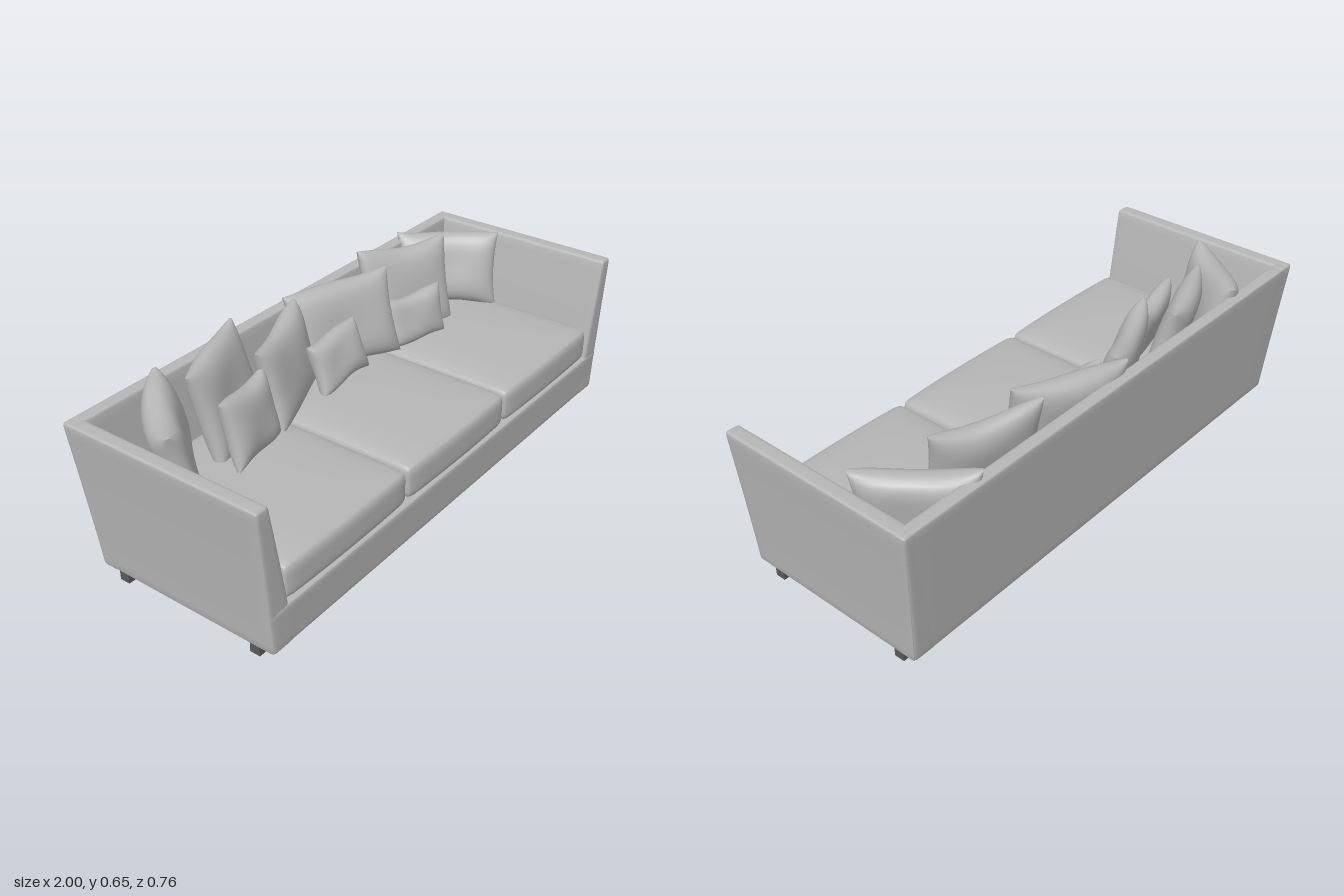
import * as THREE from 'three';
import { mergeVertices } from 'three/addons/utils/BufferGeometryUtils.js';

const fabric = new THREE.MeshStandardMaterial({ color: 0xb6b6b6 });
fabric.name = 'grey fabric';
const legPaint = new THREE.MeshStandardMaterial({ color: 0x5a5a5a });
legPaint.name = 'dark leg';

const { lerp, clamp } = THREE.MathUtils;

// Box grid from -1 to 1, denser near its edges, moved by a rule and smoothed
function warpedBox(nx, ny, nz, rule) {
  let geo = new THREE.BoxGeometry(2, 2, 2, nx, ny, nz);
  geo.deleteAttribute('normal');
  geo.deleteAttribute('uv');
  geo = mergeVertices(geo);
  const pos = geo.attributes.position;
  const p = new THREE.Vector3();
  for (let i = 0; i < pos.count; i++) {
    p.fromBufferAttribute(pos, i);
    p.set(...p.toArray().map((c) => Math.sin((c * Math.PI) / 2)));
    rule(p);
    pos.setXYZ(i, p.x, p.y, p.z);
  }
  geo.computeVertexNormals();
  return geo;
}

// Rounded block of size w, h, d, optionally bent further by a rule
function softBlock(w, h, d, r, rule = () => {}) {
  const half = new THREE.Vector3(w / 2, h / 2, d / 2);
  const inner = half.clone().subScalar(r);
  const c = new THREE.Vector3();
  return warpedBox(12, 12, 14, (p) => {
    p.multiply(half);
    c.copy(p).clamp(inner.clone().negate(), inner);
    p.sub(c);
    if (p.lengthSq() > 0) p.setLength(r);
    p.add(c);
    rule(p);
  });
}

// Wall leaning outwards; x and z limits are given for its foot and its top
function leaningWall(foot, top, y0, y1) {
  const w = top[1] - top[0], h = y1 - y0, d = top[3] - top[2];
  return softBlock(w, h, d, 0.012, (p) => {
    const t = clamp(p.y / h + 0.5, 0, 1);
    const k = Math.pow(t, 1.15);
    p.x = lerp(lerp(foot[0], top[0], k), lerp(foot[1], top[1], k), p.x / w + 0.5);
    p.z = lerp(lerp(foot[2], top[2], t), lerp(foot[3], top[3], t), p.z / d + 0.5);
    p.y = lerp(y0, y1, t);
  });
}

// Stuffed pillow with drawn-in sides, pulled corners and a few soft creases
function pillowGeometry(w, h, thick, bend, seed) {
  return warpedBox(18, 18, 2, (p) => {
    const u = p.x, v = p.y;
    const puff = Math.sqrt((1 - u ** 4) * (1 - v ** 4));
    const crease = 1 + 0.1 * Math.sin(u * 3 + seed) * Math.cos(v * 2.5 + seed * 2);
    p.x = (w / 2) * u * (1 - 0.07 * (1 - v * v));
    p.y = (h / 2) * v * (1 - 0.08 * (1 - u * u)) + 0.006 * Math.sin(u * 3 + seed);
    p.z = p.z * (thick / 2) * (0.1 + 0.9 * puff * crease) + bend * (u * u - 0.4);
  });
}

export function createModel() {
  const sofa = new THREE.Group();
  sofa.name = 'sofa';
  const add = (name, geo, mat, x = 0, y = 0, z = 0) => {
    const mesh = new THREE.Mesh(geo, mat);
    mesh.name = name;
    mesh.position.set(x, y, z);
    sofa.add(mesh);
    return mesh;
  };

  // Base and back
  add('base', leaningWall([-0.95, 0.95, -0.32, 0.372], [-0.96, 0.96, -0.33, 0.378], 0.04, 0.195), fabric);
  add('backrest', leaningWall([-0.955, 0.955, -0.333, -0.27], [1, 1, -0.38, -0.33].map((v, i) => (i === 0 ? -1 : v)), 0.04, 0.575), fabric);

  // Arms
  add('leftArm', leaningWall([0.855, 0.955, -0.333, 0.374], [0.945, 1, -0.38, 0.378], 0.04, 0.575), fabric);
  add('rightArm', leaningWall([-0.955, -0.855, -0.333, 0.374], [-1, -0.945, -0.38, 0.378], 0.04, 0.575), fabric);

  // Seat cushions, crowned on top
  const edges = [-0.885, -0.282, 0.298, 0.89];
  for (let i = 0; i < 3; i++) {
    const w = edges[i + 1] - edges[i] - 0.004, h = 0.128, d = 0.67;
    const geo = softBlock(w, h, d, 0.03, (p) => {
      const u = (2 * p.x) / w, v = (2 * p.z) / d;
      if (p.y > 0) p.y += 0.018 * (1 - u ** 4) * (1 - v ** 4);
      p.z += 0.006 * v * (1 - u * u);
    });
    add('seatCushion', geo, fabric, (edges[i] + edges[i + 1]) / 2, 0.254, 0.034);
  }

  // Pillows: x, y, z, width, height, thickness, turn, lean, roll, bend
  const pillows = [
    [-0.755, 0.458, -0.185, 0.4, 0.29, 0.12, 0.88, 0.22, 0.02, 0.02],
    [-0.475, 0.478, -0.225, 0.38, 0.35, 0.1, 0.38, 0.25, 0.03, 0.01],
    [-0.505, 0.442, -0.09, 0.275, 0.235, 0.085, 0.25, 0.25, -0.03, 0.005],
    [-0.2, 0.458, -0.195, 0.4, 0.3, 0.1, 0.4, 0.25, 0, 0.01],
    [0.01, 0.42, -0.145, 0.26, 0.19, 0.085, 0, 0.35, 0.04, 0.005],
    [0.145, 0.468, -0.23, 0.42, 0.32, 0.11, -0.38, 0.25, 0.05, 0.015],
    [0.495, 0.478, -0.205, 0.38, 0.335, 0.1, -0.36, 0.25, -0.03, 0.01],
    [0.43, 0.412, -0.115, 0.25, 0.185, 0.08, -0.3, 0.25, 0, 0.005],
    [0.77, 0.458, -0.2, 0.39, 0.29, 0.12, -0.88, 0.22, -0.02, 0.02],
  ];
  pillows.forEach(([x, y, z, w, h, thick, turn, lean, roll, bend], i) => {
    const mesh = add('pillow', pillowGeometry(w, h, thick, bend, i * 1.7), fabric, x, y, z);
    mesh.rotation.set(-lean, turn, roll, 'YXZ');
  });

  // Short square legs
  for (const x of [-0.922, 0.922])
    for (const z of [0.29, -0.254])
      add('leg', new THREE.BoxGeometry(0.042, 0.045, 0.038), legPaint, x, 0.0225, z);

  return sofa;
}
